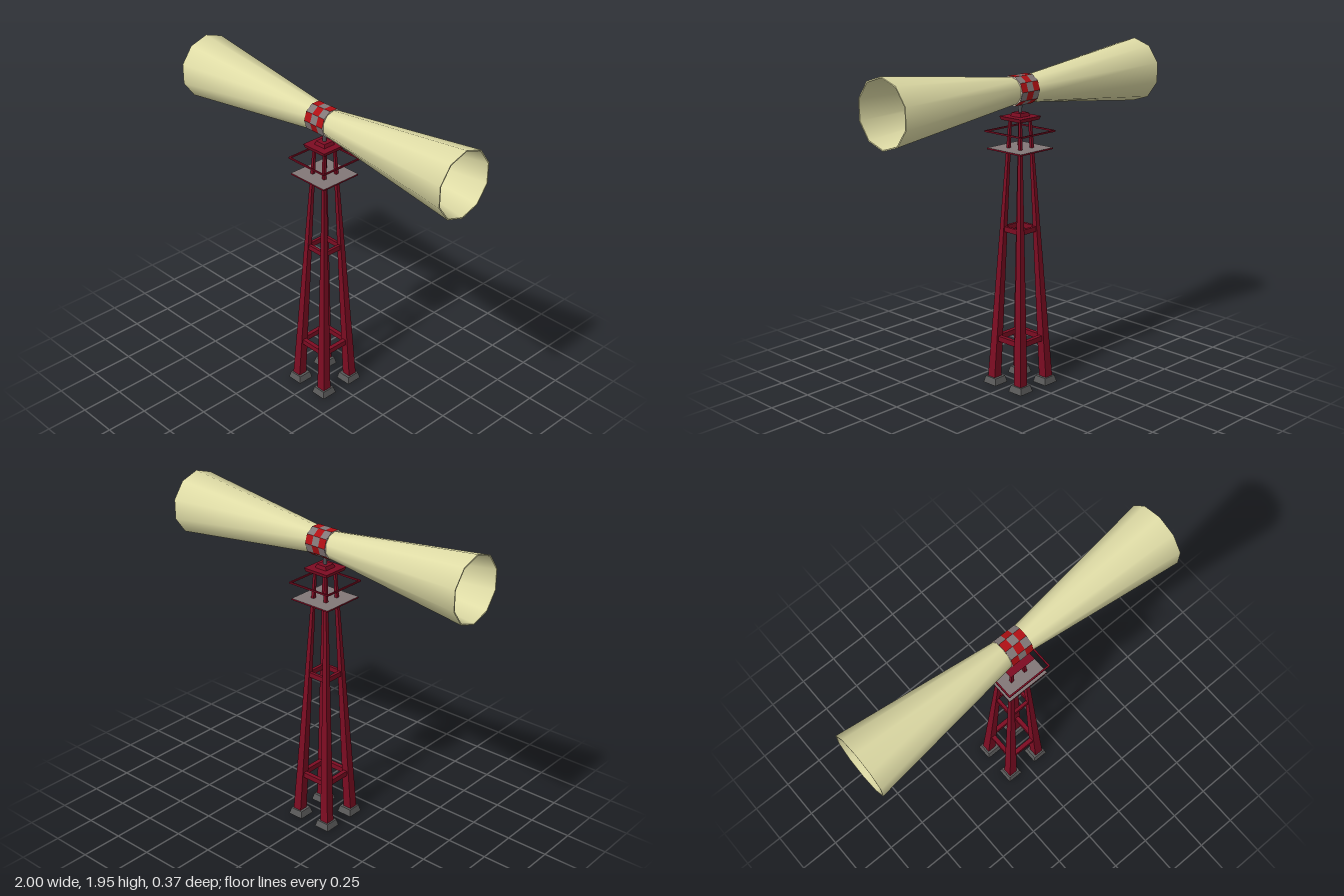
import * as THREE from 'three';
import { mergeGeometries, toCreasedNormals } from 'three/addons/utils/BufferGeometryUtils.js';

const mat = (name, color) => Object.assign(new THREE.MeshStandardMaterial({ color }), { name });

export function createModel() {
  const red = mat('tower dark red', 0x7d0c22);
  const checkRed = mat('checker red', 0xb01014);
  const gray = mat('panel gray', 0x827878);
  const footGray = mat('footing gray', 0x5a5a5a);
  const poleGray = mat('pole gray', 0x505055);
  const cream = mat('horn cream', 0xdfdca6);
  const beige = mat('throat beige', 0xd8c8b8);

  const root = new THREE.Group();
  root.name = 'hornTower';
  const add = (name, geometry, material, x = 0, y = 0, z = 0, parent = root) => {
    const mesh = new THREE.Mesh(geometry, material);
    mesh.name = name;
    mesh.position.set(x, y, z);
    parent.add(mesh);
    return mesh;
  };

  // Square bar from (c0, y0) to (c1, y1), leaning towards the corner (sx, sz)
  const taperedBar = (sx, sz, y0, y1, c0, c1, w0, w1) => {
    const g = new THREE.BoxGeometry(1, 1, 1);
    const p = g.attributes.position;
    for (let i = 0; i < p.count; i++) {
      const t = p.getY(i) + 0.5;
      const c = c0 + (c1 - c0) * t, w = w0 + (w1 - w0) * t;
      p.setXYZ(i, sx * c + p.getX(i) * w, y0 + (y1 - y0) * t, sz * c + p.getZ(i) * w);
    }
    g.computeVertexNormals();
    return g;
  };

  // Four legs on sloped footings
  for (const sx of [-1, 1]) for (const sz of [-1, 1]) {
    add('footing', taperedBar(sx, sz, 0, 0.04, 0.104, 0.104, 0.1, 0.08), footGray);
    add('leg', taperedBar(sx, sz, 0.038, 1.59, 0.107, 0.039, 0.055, 0.014), red);
  }

  // Square frames of four bars: two braces and the guard rail
  const frame = (name, y, half, height, depth) => {
    const group = new THREE.Group();
    group.name = name;
    for (let i = 0; i < 4; i++) {
      const a = i * Math.PI / 2;
      const bar = add(name + 'Bar', new THREE.BoxGeometry(half * 2 + depth, height, depth), red,
        Math.sin(a) * half, y, Math.cos(a) * half, group);
      bar.rotation.y = a;
    }
    root.add(group);
  };
  frame('lowerBrace', 0.283, 0.096, 0.032, 0.026);
  frame('upperBrace', 0.95, 0.067, 0.03, 0.018);
  frame('guardRail', 1.52, 0.137, 0.009, 0.009);

  // Platform with red edges
  add('platform', new THREE.BoxGeometry(0.264, 0.009, 0.264),
    [red, red, gray, gray, red, red], 0, 1.42, 0);

  // Tower head and pole
  add('headPlate', taperedBar(0, 0, 1.585, 1.606, 0, 0, 0.152, 0.166), red);
  add('headBlock', taperedBar(0, 0, 1.606, 1.627, 0, 0, 0.078, 0.066), red);
  add('pole', new THREE.CylinderGeometry(0.014, 0.01, 0.07, 10), poleGray, 0, 1.655, 0);

  // Siren head: its local y axis lies along the model's x axis
  const siren = new THREE.Group();
  siren.name = 'sirenHead';
  siren.position.y = 1.755;
  siren.rotation.z = -Math.PI / 2;
  root.add(siren);

  // Ten-sided drum of three checkered rings, one flat facet on top
  const step = Math.PI / 5, width = 0.14 / 3;
  const panels = [[], []];
  for (let i = 0; i < 10; i++) for (let j = -1; j <= 1; j++) {
    const theta = -Math.PI / 2 + (i - 0.5) * step;
    const g = new THREE.CylinderGeometry(0.086, 0.086, width, 1, 1, true, theta, step).toNonIndexed();
    g.computeVertexNormals();
    panels[(i + j + 10) % 2].push(g.translate(0, j * width, 0));
  }
  add('drumGrayChecks', mergeGeometries(panels[0]), gray, 0, 0, 0, siren);
  add('drumRedChecks', mergeGeometries(panels[1]), checkRed, 0, 0, 0, siren);

  // Two hollow horns, each with a disc closing its throat
  const profile = [[0.079, 0.068], [0.192, 1], [0.185, 1], [0.075, 0.068]]
    .map(([r, h]) => new THREE.Vector2(r, h));
  const hornGeometry = toCreasedNormals(new THREE.LatheGeometry(profile, 10, Math.PI / 2), 0.8);
  for (const side of [-1, 1]) {
    const half = new THREE.Group();
    half.name = side > 0 ? 'leftHorn' : 'rightHorn';
    half.rotation.z = side > 0 ? 0 : Math.PI;
    add('horn', hornGeometry, cream, 0, 0, 0, half);
    const disc = add('throatDisc', new THREE.CircleGeometry(0.086, 10, Math.PI / 10 - Math.PI / 10 + step / 2),
      beige, 0, 0.0702, 0, half);
    disc.rotation.x = -Math.PI / 2;
    siren.add(half);
  }
  return root;
}
